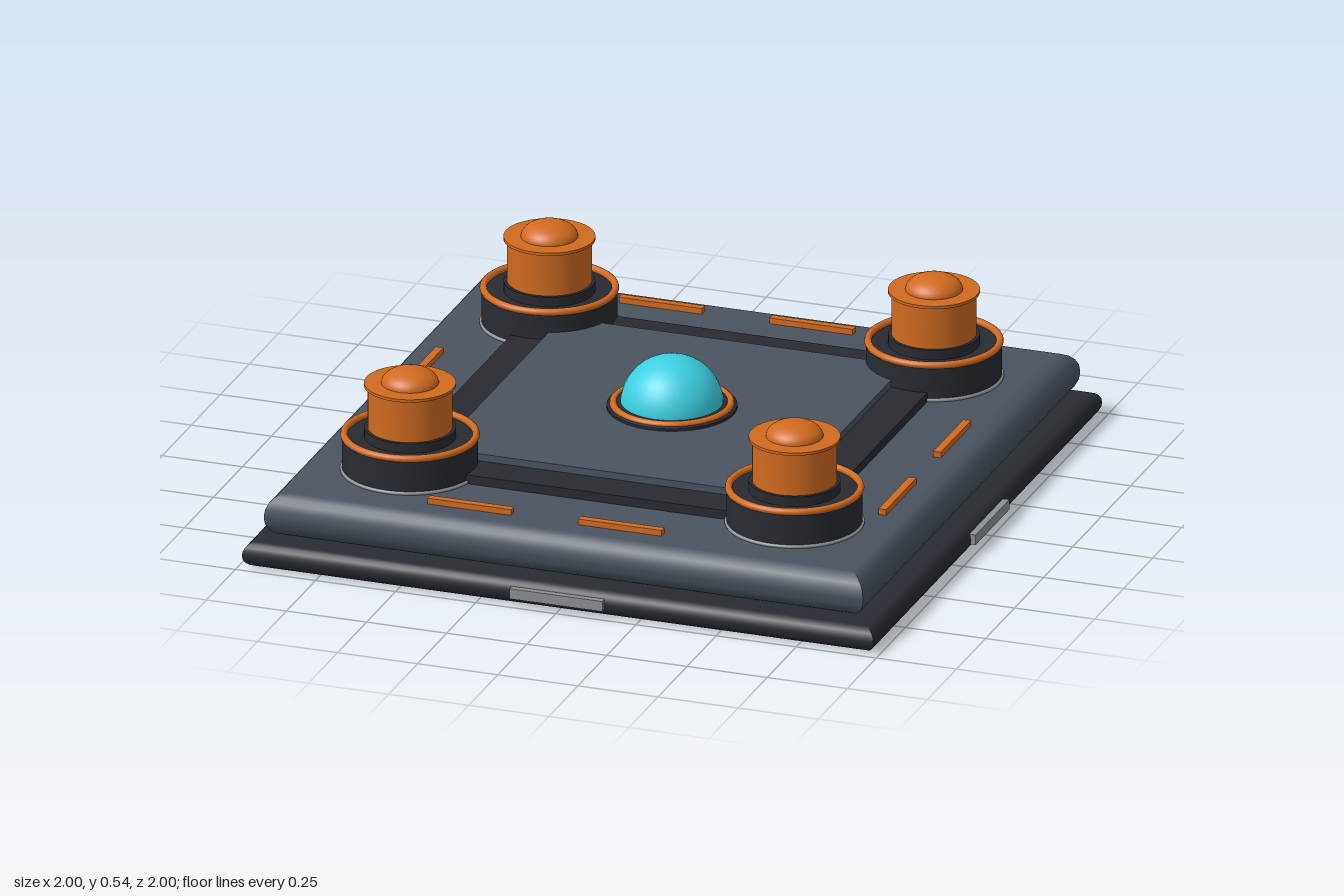
import * as THREE from 'three';
import { toCreasedNormals } from 'three/addons/utils/BufferGeometryUtils.js';

const paint = (color) => new THREE.MeshStandardMaterial({ color });
const dark = paint(0x282b31);
const slate = paint(0x4a535f);
const orange = paint(0xd06a20);
const cyan = paint(0x3ccfe2);
const metal = paint(0x8c9194);

function add(parent, name, geometry, material, x = 0, y = 0, z = 0) {
  const mesh = new THREE.Mesh(geometry, material);
  mesh.name = name;
  mesh.position.set(x, y, z);
  parent.add(mesh);
  return mesh;
}

// Square slab with a rounded, mitred rim
function slab(half, y0, y1, bevel) {
  const s = half - bevel, t = (y1 - y0) * 0.48;
  const shape = new THREE.Shape([[-s, -s], [s, -s], [s, s], [-s, s]].map((p) => new THREE.Vector2(...p)));
  const g = new THREE.ExtrudeGeometry(shape, {
    depth: y1 - y0 - 2 * t, bevelThickness: t, bevelSize: bevel, bevelSegments: 5,
  });
  g.rotateX(-Math.PI / 2).translate(0, y0 + t, 0);
  return toCreasedNormals(g, 0.6);
}

// Turned part from [radius, height] points, listed bottom to top
function turned(points) {
  const g = new THREE.LatheGeometry(points.map((p) => new THREE.Vector2(...p)), 48);
  return toCreasedNormals(g, 0.6);
}

function ring(radius, tube) {
  return new THREE.TorusGeometry(radius, tube, 10, 48).rotateX(Math.PI / 2);
}

// Shallow cap of given base radius and height
function dome(radius, height) {
  return new THREE.SphereGeometry(radius, 32, 12, 0, Math.PI * 2, 0, Math.PI / 2).scale(1, height / radius, 1);
}

function pylon() {
  const g = new THREE.Group();
  g.name = 'cornerPylon';
  add(g, 'footRing', ring(0.2, 0.006), metal, 0, 0.224, 0);
  add(g, 'pedestal', turned([[0, 0.2], [0.2, 0.2], [0.2, 0.325], [0, 0.325]]), dark);
  add(g, 'pedestalRing', ring(0.194, 0.011), orange, 0, 0.332, 0);
  add(g, 'collar', turned([[0, 0.32], [0.135, 0.32], [0.135, 0.355], [0, 0.355]]), dark);
  add(g, 'drum', turned([[0, 0.345], [0.125, 0.345], [0.125, 0.482], [0.135, 0.486],
    [0.135, 0.495], [0, 0.495]]), orange);
  add(g, 'drumCap', dome(0.085, 0.047), orange, 0, 0.494, 0);
  return g;
}

export function createModel() {
  const model = new THREE.Group();
  model.name = 'platform';

  // Stacked plates
  add(model, 'basePlate', slab(0.985, 0, 0.08, 0.04), dark);
  add(model, 'upperPlate', slab(0.935, 0.08, 0.22, 0.065), slate);
  add(model, 'centrePanel', new THREE.BoxGeometry(1.07, 0.06, 1.07), slate, 0, 0.24, 0);

  // Frame beams, light strips and edge tabs, one set per side
  for (let i = 0; i < 4; i++) {
    const side = new THREE.Group();
    side.name = 'side';
    side.rotation.y = (i * Math.PI) / 2;
    model.add(side);
    add(side, 'frameBeam', new THREE.BoxGeometry(1.2, 0.04, 0.12), dark, 0, 0.228, 0.59);
    add(side, 'edgeTab', new THREE.BoxGeometry(0.29, 0.032, 0.04), metal, 0, 0.043, 0.98);
    // Strips sit off-centre, matching across opposite sides
    const flip = i < 2 ? 1 : -1;
    for (const x of [-0.33, 0.14]) {
      add(side, 'lightStrip', new THREE.BoxGeometry(0.26, 0.022, 0.024), orange, x * flip, 0.227, 0.823);
    }
  }

  // Corner pylons
  for (const x of [-0.6, 0.6]) {
    for (const z of [-0.6, 0.6]) {
      const p = pylon();
      p.position.set(x, 0, z);
      model.add(p);
    }
  }

  // Central dome in its seat
  add(model, 'domeSeat', turned([[0, 0.26], [0.192, 0.26], [0.192, 0.278], [0.17, 0.288], [0, 0.288]]), dark);
  add(model, 'domeRing', ring(0.173, 0.011), orange, 0, 0.283, 0);
  add(model, 'dome', dome(0.152, 0.148), cyan, 0, 0.28, 0);

  return model;
}
